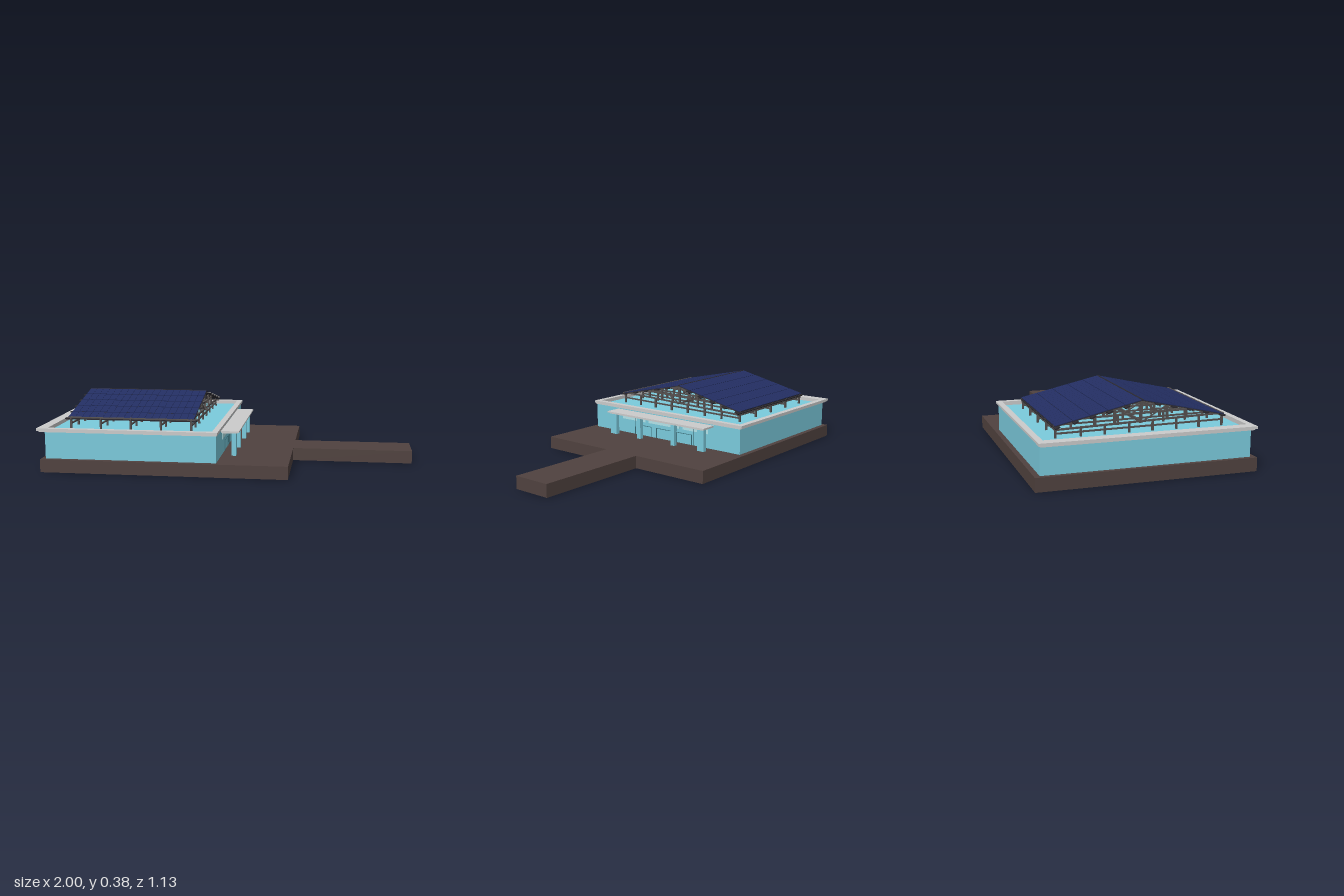
import * as THREE from 'three';

const mat = (color) => new THREE.MeshStandardMaterial({ color });

export function createModel() {
  const M = {
    ground: mat(0x50423f), wall: mat(0x7bcbdd), trim: mat(0xcccccc), glass: mat(0xb4e4ea),
    line: mat(0x3f7682), steel: mat(0x55504f), dark: mat(0x2c2a30), panel: mat(0x232e62),
  };
  const model = new THREE.Group();
  const group = (name) => {
    const g = new THREE.Group();
    g.name = name;
    model.add(g);
    return g;
  };
  // Box from its minimum and maximum on each axis
  const box = (parent, name, m, [x0, x1], [y0, y1], [z0, z1]) => {
    const mesh = new THREE.Mesh(new THREE.BoxGeometry(x1 - x0, y1 - y0, z1 - z0), m);
    mesh.position.set((x0 + x1) / 2, (y0 + y1) / 2, (z0 + z1) / 2);
    mesh.name = name;
    parent.add(mesh);
    return mesh;
  };
  // Straight bar in a plane of constant x, between two [z, y] points
  const bar = (parent, name, x, a, b, t, w = t, m = M.steel) => {
    const dz = b[0] - a[0], dy = b[1] - a[1];
    const mesh = new THREE.Mesh(new THREE.BoxGeometry(w, t, Math.hypot(dz, dy)), m);
    mesh.position.set(x, (a[1] + b[1]) / 2, (a[0] + b[0]) / 2);
    mesh.rotation.x = -Math.atan2(dy, dz);
    mesh.name = name;
    parent.add(mesh);
    return mesh;
  };
  // Upright rectangular ring lying flat at height y
  const ring = (parent, name, m, [x0, x1, z], [ix0, ix1, iz], y, h) => {
    const rect = (P, l, r, d) => new P().moveTo(l, -d).lineTo(r, -d).lineTo(r, d).lineTo(l, d).closePath();
    const s = rect(THREE.Shape, x0, x1, z);
    s.holes.push(rect(THREE.Path, ix0, ix1, iz));
    const mesh = new THREE.Mesh(new THREE.ExtrudeGeometry(s, { depth: h, bevelEnabled: false }), m);
    mesh.rotation.x = -Math.PI / 2;
    mesh.position.y = y;
    mesh.name = name;
    parent.add(mesh);
  };

  // Terrace and the walkway that leads to it
  const base = group('base');
  box(base, 'terrace', M.ground, [-0.98, 0.34], [0, 0.07], [-0.563, 0.563]);
  box(base, 'walkway', M.ground, [0.34, 1], [0, 0.07], [-0.11, 0.11]);

  // Main hall: walls, roof deck and stepped cornice
  const hall = group('hall');
  box(hall, 'walls', M.wall, [-0.957, -0.036], [0.07, 0.213], [-0.535, 0.535]);
  ring(hall, 'corniceLower', M.trim, [-0.99, -0.032, 0.539], [-0.945, -0.06, 0.517], 0.213, 0.008);
  ring(hall, 'corniceUpper', M.trim, [-1, -0.028, 0.548], [-0.945, -0.06, 0.517], 0.22, 0.014);

  // Entrance wall: upper windows, door frames and pilaster lines
  const entrance = group('entrance');
  const front = [-0.037, -0.034];
  for (const [a, b] of [[-0.32, -0.14], [-0.115, 0.115], [0.14, 0.32]])
    box(entrance, 'upperWindow', M.glass, front, [0.152, 0.192], [a, b]);
  for (const [c, w] of [[-0.15, 0.055], [0, 0.055], [0.15, 0.055]]) {
    const f = [-0.037, -0.033];
    box(entrance, 'doorHead', M.line, f, [0.128, 0.131], [c - w, c + w]);
    for (const s of [-1, 1])
      box(entrance, 'doorJamb', M.line, f, [0.07, 0.131], [c + s * w - 0.0015, c + s * w + 0.0015]);
  }
  for (const z of [-0.22, 0.22])
    box(entrance, 'wallJoint', M.line, [-0.037, -0.033], [0.07, 0.2], [z - 0.001, z + 0.001]);

  // Porch canopy on four columns
  const porch = group('porch');
  box(porch, 'canopy', M.trim, [-0.036, 0.062], [0.199, 0.207], [-0.358, 0.358]);
  box(porch, 'canopySoffit', M.trim, [-0.036, 0.052], [0.193, 0.199], [-0.348, 0.348]);
  for (const [z, w] of [[0.325, 0.045], [0.127, 0.026], [-0.127, 0.026], [-0.325, 0.045]])
    box(porch, 'column', M.wall, [0.02, 0.044], [0.07, 0.194], [z - w / 2, z + w / 2]);

  // Trusses standing on the roof deck
  const trusses = group('trusses');
  const ridge = 0.366, eave = 0.268, half = 0.437;
  const slopeY = (z) => ridge - (ridge - eave) * Math.abs(z) / half;
  const chordY = (z) => 0.264 + 0.028 * z;
  const sillY = (z) => 0.239 + 0.012 * z;
  for (const x of [-0.845, -0.68, -0.515, -0.35, -0.185]) {
    const t = new THREE.Group();
    t.name = 'truss';
    trusses.add(t);
    bar(t, 'sill', x, [-0.435, sillY(-0.435)], [0.435, sillY(0.435)], 0.008);
    bar(t, 'bottomChord', x, [-0.435, chordY(-0.435)], [0.435, chordY(0.435)], 0.009);
    bar(t, 'collar', x, [-0.265, 0.298], [0.24, 0.307], 0.007);
    bar(t, 'kingPost', x, [0, chordY(0)], [0, ridge], 0.012, 0.01);
    for (const s of [-1, 1]) {
      bar(t, 'rafter', x, [0, ridge], [s * half, eave], 0.009);
      for (const z of [0.135, 0.235])
        bar(t, 'strut', x, [s * z, chordY(s * z)], [s * z, slopeY(z)], 0.012, 0.01);
      bar(t, 'diagonal', x, [s * 0.02, 0.27], [s * 0.135, slopeY(0.135)], 0.006);
      bar(t, 'diagonal', x, [0, slopeY(0.02)], [s * 0.1, 0.302], 0.006);
      box(t, 'hanger', M.steel, [x - 0.005, x + 0.005], [0.285, 0.312], [s * 0.095 - 0.005, s * 0.095 + 0.005]);
      for (const z of [0.06, 0.185, 0.305, 0.43])
        box(t, 'leg', M.steel, [x - 0.005, x + 0.005], [0.21, chordY(s * z)], [s * z - 0.005, s * z + 0.005]);
    }
  }
  // Long rails tying the trusses together
  for (const z of [-0.43, 0, 0.43]) {
    const y = chordY(z);
    box(trusses, 'rail', M.steel, [-0.86, -0.165], [y - 0.004, y + 0.004], [z - 0.004, z + 0.004]);
  }

  // Solar roof: dark backing, rows of panels and purlins
  const solar = group('solarRoof');
  const rows = 5, cols = 18, x0 = -0.862, x1 = -0.172, colW = (x1 - x0) / cols;
  const lift = 0.006;
  for (const s of [-1, 1]) {
    bar(solar, 'backing', (x0 + x1) / 2, [0, ridge + lift - 0.003], [s * half, eave + lift - 0.003], 0.003, x1 - x0, M.dark);
    for (let r = 0; r < rows; r++) {
      const gap = s > 0 ? 0.004 : 0.0015;
      const za = r * half / rows + gap, zb = (r + 1) * half / rows - gap;
      for (let c = 0; c < cols; c++)
        bar(solar, 'panel', x0 + (c + 0.5) * colW, [s * za, slopeY(za) + lift], [s * zb, slopeY(zb) + lift],
          0.004, colW - 0.0015, M.panel);
    }
    for (const z of [0.08, 0.165, 0.25, 0.335, 0.425]) {
      const y = slopeY(z) + (s > 0 ? 0.005 : -0.004);
      bar(solar, 'purlin', -0.517, [s * z - 0.011, y - 0.006], [s * z + 0.011, y + 0.006 * -s], 0.007, 0.72, M.dark);
    }
  }
  box(solar, 'ridgeCap', M.dark, [x0, x1], [ridge + 0.001, ridge + 0.009], [-0.004, 0.004]);
  return model;
}
